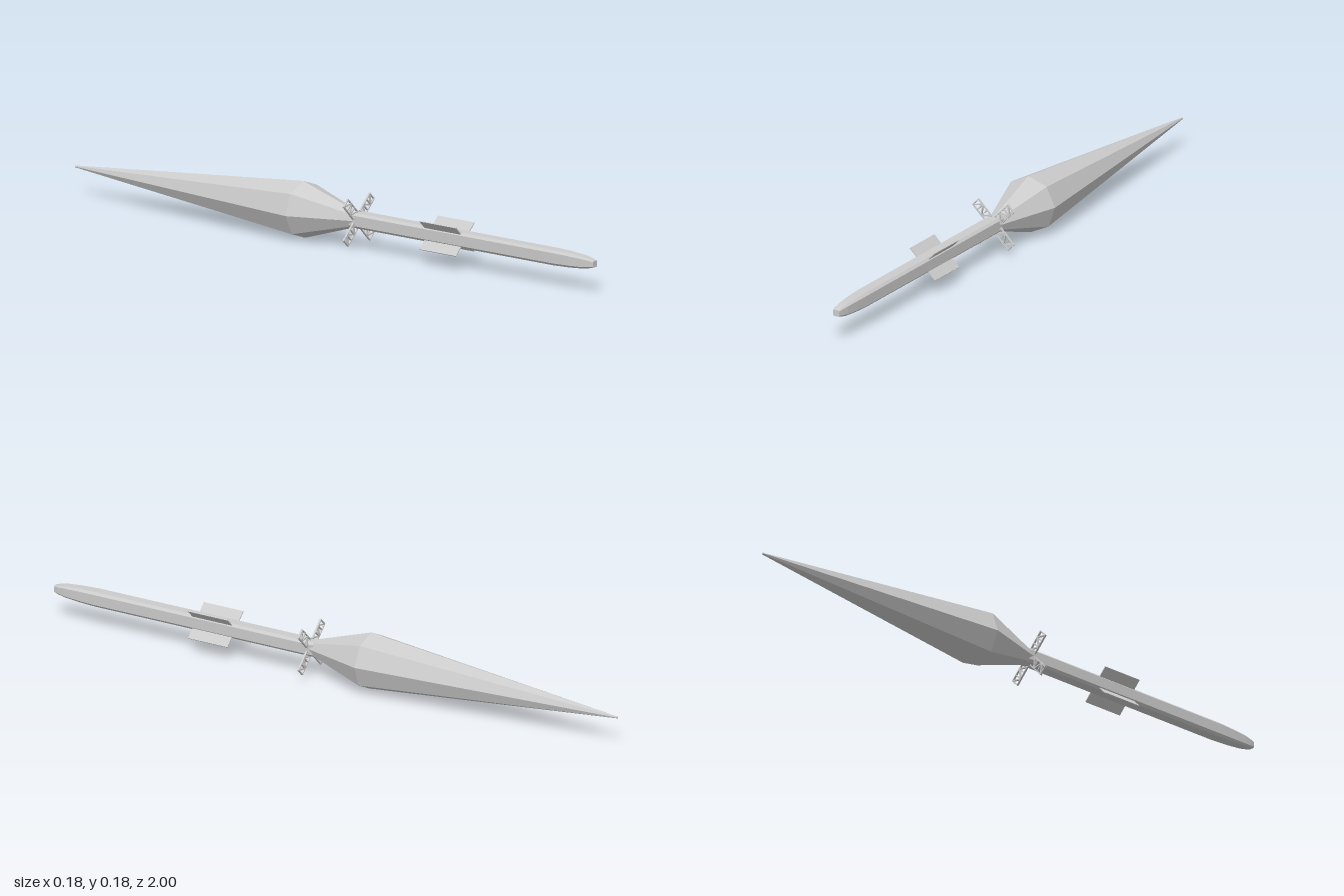
import * as THREE from 'three';

const AXIS_Y = 0.09;
const material = new THREE.MeshStandardMaterial({ color: 0xcccccc, flatShading: true, side: THREE.DoubleSide });

// Eight-sided body along z from [radius, z] pairs
function octagonBody(profile, phiStart = 0) {
  const points = profile.map(([r, z]) => new THREE.Vector2(r, z));
  return new THREE.LatheGeometry(points, 8, phiStart).rotateX(Math.PI / 2);
}

// Turns a regular octagon section into a square with narrow chamfers
function squareOff(geometry) {
  const p = geometry.attributes.position;
  const stretch = 0.68 / Math.tan(Math.PI / 8);
  for (let i = 0; i < p.count; i++) {
    const x = p.getX(i), y = p.getY(i);
    if (Math.abs(x) < Math.abs(y)) p.setX(i, x * stretch);
    else p.setY(i, y * stretch);
  }
  geometry.computeVertexNormals();
  return geometry;
}

// Flat lattice panel pointing along +x, with triangular openings
function latticePanel(start, end, width, depth) {
  const h = width / 2, bays = 3, rim = 0.003, bar = 0.0028;
  const shape = new THREE.Shape([
    new THREE.Vector2(start, -h), new THREE.Vector2(end, -h),
    new THREE.Vector2(end, h), new THREE.Vector2(start, h),
  ]);
  const step = (end - start - rim) / bays;
  for (let i = 0; i < bays; i++) {
    const a = start + rim + i * step, b = a + step - rim;
    const t = h - rim, s = i % 2 ? -1 : 1;
    // two triangles either side of a diagonal bar
    const triangles = [
      [[a, -t + bar], [a, t], [b - bar, t]],
      [[a + bar, -t], [b, -t], [b, t - bar]],
    ];
    for (const tri of triangles) {
      shape.holes.push(new THREE.Path(tri.map(([x, y]) => new THREE.Vector2(x, s * y))));
    }
  }
  return new THREE.ExtrudeGeometry(shape, { depth, bevelEnabled: false }).translate(0, 0, -depth / 2);
}

export function createModel() {
  const model = new THREE.Group();
  const body = new THREE.Group();
  body.name = 'rocket';
  body.position.y = AXIS_Y;
  model.add(body);

  const add = (name, geometry, angle = 0) => {
    const mesh = new THREE.Mesh(geometry, material);
    mesh.name = name;
    mesh.rotation.z = angle;
    body.add(mesh);
  };

  // Long pointed head, turned slightly about its axis
  add('head', octagonBody([
    [0, -1], [0.003, -1], [0.0885, -0.12], [0.022, 0.09], [0, 0.09],
  ]), THREE.MathUtils.degToRad(3));

  // Chamfered square shaft with a tapering tail end
  const k = 1 / Math.cos(Math.PI / 8);
  const shaftProfile = [
    [0, 0.07], [0.0235, 0.07], [0.0235, 0.85], [0.0215, 0.91],
    [0.018, 0.96], [0.014, 0.985], [0.01, 1], [0, 1],
  ].map(([r, z]) => [r * k, z]);
  add('shaft', squareOff(octagonBody(shaftProfile, Math.PI / 8)));

  // Four diagonal lattice panels behind the head and four plain fins on the shaft
  const lattice = latticePanel(0.022, 0.0885, 0.031, 0.006);
  lattice.translate(0, 0, 0.09);
  const fin = new THREE.BoxGeometry(0.046, 0.003, 0.14).translate(0.039, 0, 0.43);
  for (let i = 0; i < 4; i++) {
    const angle = Math.PI / 4 + i * Math.PI / 2;
    add('latticePanel', lattice, angle);
    add('shaftFin', fin, angle);
  }
  return model;
}
